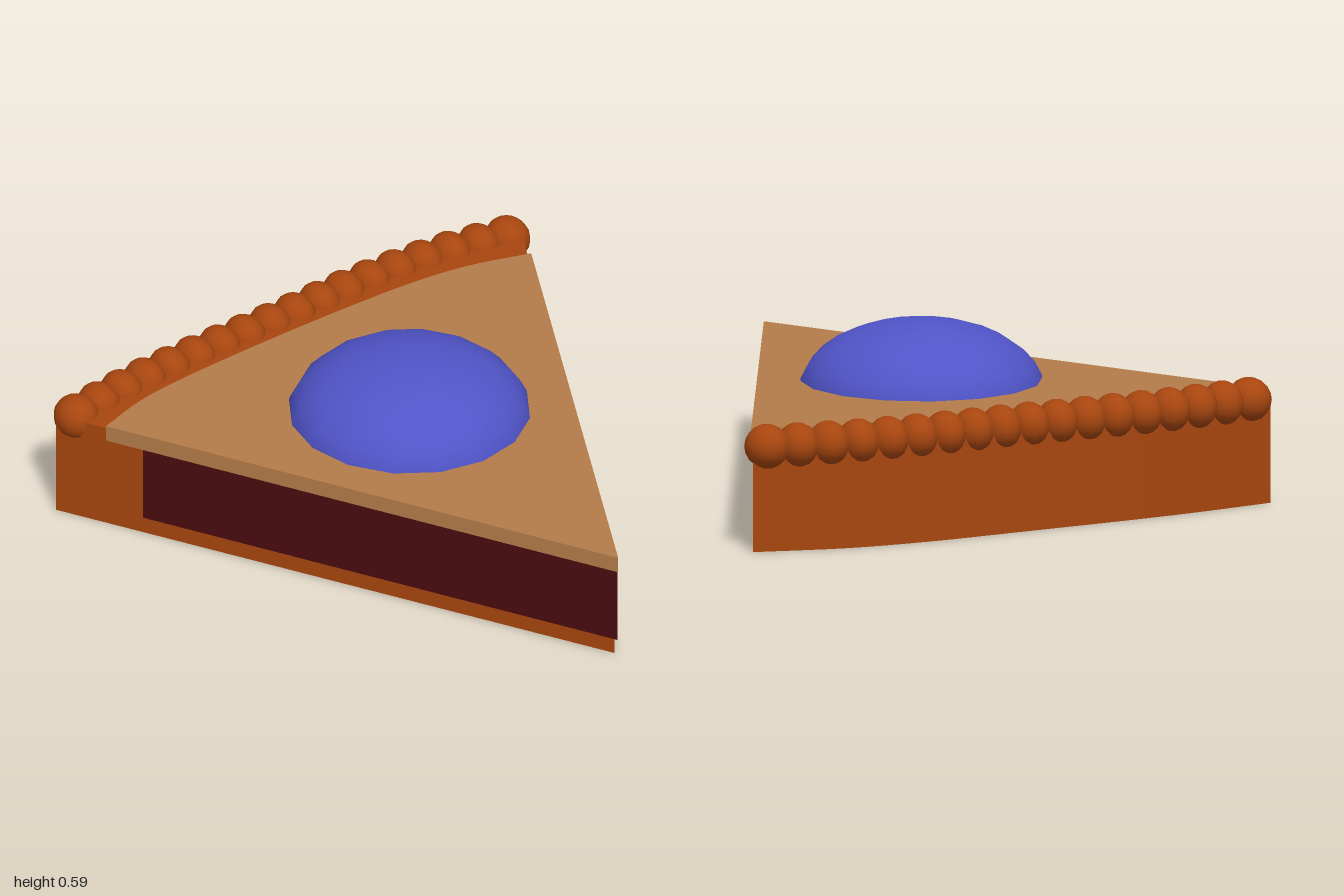
import * as THREE from 'three';

const mat = (name, color) => Object.assign(new THREE.MeshStandardMaterial({ color }), { name });

// Smooth curve through [x, z] points, on the ground plane
const arc = (pts) => new THREE.CatmullRomCurve3(pts.map(([x, z]) => new THREE.Vector3(x, 0, z)));

export function createModel() {
  const pie = new THREE.Group();
  pie.name = 'pieSlice';
  const crust = mat('baked crust', 0xa8460f);
  const lid = mat('golden pastry', 0xb57c4a);
  const filling = mat('dark berry filling', 0x4a0c10);
  const berry = mat('blue topping', 0x5054c8);

  const add = (name, geometry, material, parent = pie) => {
    const mesh = new THREE.Mesh(geometry, material);
    mesh.name = name;
    parent.add(mesh);
    return mesh;
  };

  // Wedge from a pointed front tip to a back edge, between two heights
  const wedge = (name, tipZ, back, y0, y1, material) => {
    const shape = new THREE.Shape([
      new THREE.Vector2(-0.03, -tipZ),
      ...back.map((p) => new THREE.Vector2(p.x, -p.z)).reverse(),
    ]);
    const geometry = new THREE.ExtrudeGeometry(shape, { depth: y1 - y0, bevelEnabled: false });
    geometry.rotateX(-Math.PI / 2).translate(0, y0, 0);
    return add(name, geometry, material);
  };

  // Crust shell, filling band and pastry lid
  const crustBack = arc([[-0.98, -0.86], [-0.6, -0.91], [0, -0.945], [0.36, -0.96], [0.65, -0.94], [0.965, -0.86]]);
  wedge('crustBase', 0.98, crustBack.getPoints(20), 0, 0.375, crust);

  const fillingBack = arc([[-0.835, -0.57], [0.815, -0.57]]);
  wedge('filling', 0.997, fillingBack.getPoints(1), 0.06, 0.335, filling);

  const lidBack = arc([[-0.9, -0.69], [-0.7, -0.75], [-0.4, -0.78], [0.36, -0.79], [0.65, -0.76], [0.885, -0.69]]);
  wedge('pastryTop', 1, lidBack.getPoints(20), 0.33, 0.387, lid);

  // Crimped rim: a row of overlapping beads along the back
  const rim = new THREE.Group();
  rim.name = 'crimpedRim';
  pie.add(rim);
  const rimPath = arc([[-0.91, -0.84], [-0.6, -0.88], [0, -0.9], [0.36, -0.915], [0.65, -0.9], [0.91, -0.855]]);
  const beadGeometry = new THREE.SphereGeometry(1, 14, 10);
  const beads = 18;
  for (let i = 0; i < beads; i++) {
    const end = i === 0 || i === beads - 1;
    const bead = add('rimBead', beadGeometry, crust, rim);
    bead.position.copy(rimPath.getPointAt(i / (beads - 1))).setY(0.355);
    bead.scale.set(end ? 0.075 : 0.068, 0.075, 0.082);
  }

  // Domed topping, upper half of a squashed ball
  const dome = new THREE.SphereGeometry(1, 16, 8, 0, Math.PI * 2, 0, Math.PI / 2);
  const topping = add('domeTopping', dome, berry);
  topping.position.set(-0.025, 0.35, -0.163);
  topping.scale.set(0.412, 0.24, 0.415);

  return pie;
}
